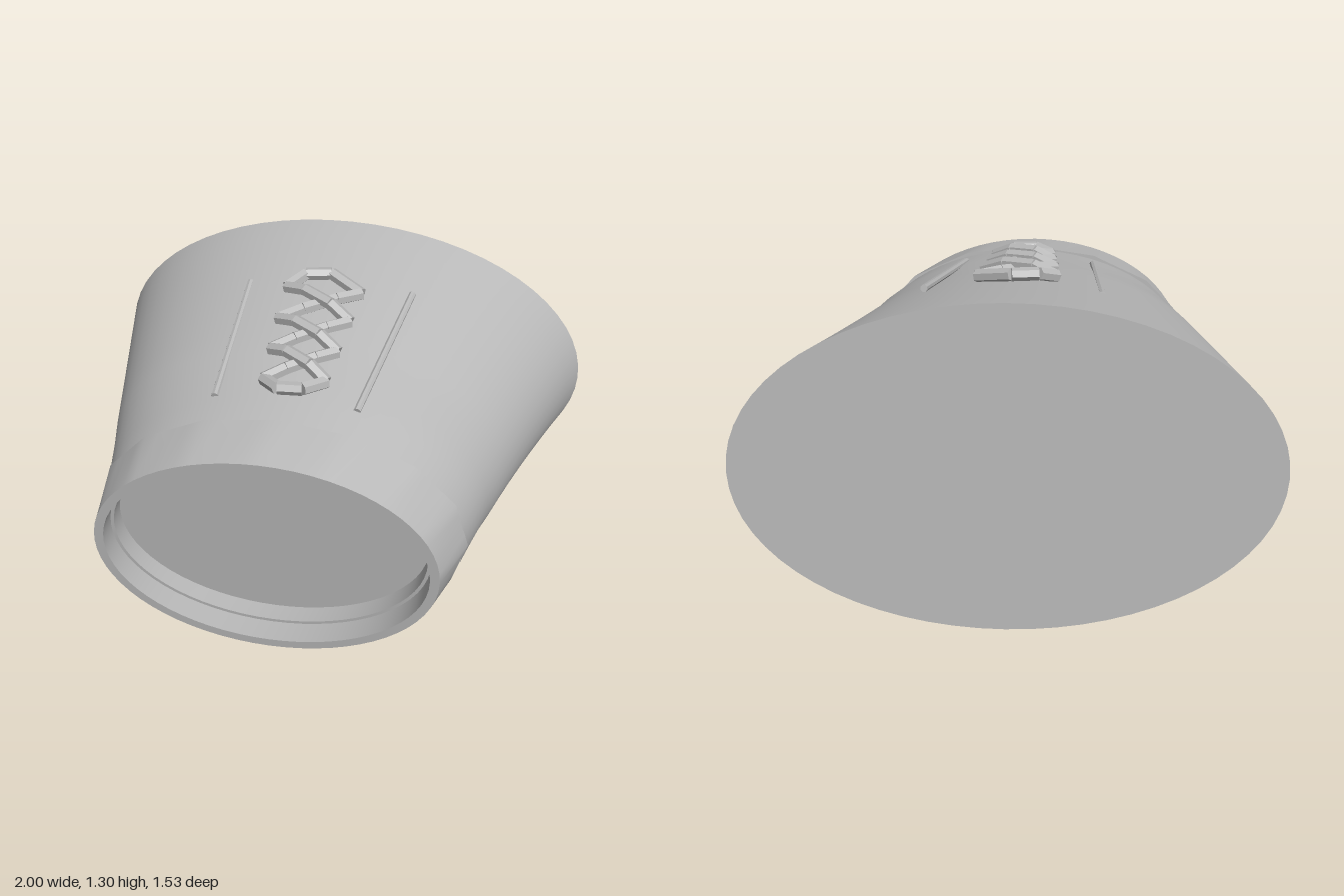
import * as THREE from 'three';

const SEG = 64;

// Tilted ellipse ring; sides > 0 turns it into a straight-sided polygon
function ring(cx, cy, rx, ry, z, sides = 0) {
  const pts = [];
  for (let i = 0; i < SEG; i++) {
    const a = (i / SEG) * Math.PI * 2;
    let c = Math.cos(a), s = Math.sin(a);
    if (sides) {
      const step = (Math.PI * 2) / sides, k = Math.floor(a / step + 1e-6), f = a / step - k;
      c = Math.cos(k * step) * (1 - f) + Math.cos((k + 1) * step) * f;
      s = Math.sin(k * step) * (1 - f) + Math.sin((k + 1) * step) * f;
    }
    const x = rx * c, y = ry * s;
    pts.push([cx + x, cy + y - 0.02 * x * (rx > 0.75 ? 1 : 0), z + 0.087 * x + 0.075 * y]);
  }
  return pts;
}

// Skin between consecutive rings
function loft(rings) {
  const index = [];
  for (let r = 0; r < rings.length - 1; r++) {
    for (let i = 0; i < SEG; i++) {
      const j = (i + 1) % SEG;
      const a = r * SEG + i, b = r * SEG + j, c = b + SEG, d = a + SEG;
      index.push(a, b, c, a, c, d);
    }
  }
  const g = new THREE.BufferGeometry();
  g.setAttribute('position', new THREE.Float32BufferAttribute(rings.flat(2), 3));
  g.setIndex(index);
  g.computeVertexNormals();
  return g;
}

export function createModel() {
  const model = new THREE.Group();
  model.name = 'cuff';
  const grey = new THREE.MeshStandardMaterial({ color: 0xb8b8b8 });
  grey.name = 'grey';
  const greyFaceted = grey;

  function add(name, geometry, parent = model) {
    const m = new THREE.Mesh(geometry, grey);
    m.name = name;
    parent.add(m);
    return m;
  }

  // Faceted bar between two points
  function bar(name, a, b, r, sides, parent) {
    const p = new THREE.Vector3(...a), q = new THREE.Vector3(...b);
    const dir = q.clone().sub(p);
    const g = new THREE.CylinderGeometry(r, r, dir.length(), sides).toNonIndexed();
    g.computeVertexNormals();
    const m = add(name, g, parent);
    m.position.copy(p).add(q).multiplyScalar(0.5);
    m.quaternion.setFromUnitVectors(new THREE.Vector3(0, 1, 0), dir.normalize());
  }

  // Flared body, slightly concave along its length
  const back = [0, 0.65, 1, 0.65, -0.667], front = [-0.152, 0.565, 0.684, 0.472, 0.49];
  const bulge = [-0.01, 0.004, -0.012, -0.004, 0];
  const bodyRings = [];
  for (let k = 0; k <= 10; k++) {
    const t = k / 10;
    bodyRings.push(ring(...back.map((v, i) => v + (front[i] - v) * t + bulge[i] * 4 * t * (1 - t))));
  }
  // Keep the skew fading smoothly towards the collar
  add('body', loft(bodyRings));
  add('backCap', loft([ring(0, 0.65, 0, 0, -0.667), ring(...back)]));

  // Collar: polygonal rear edge, smooth front rim
  const collarRear = ring(-0.155, 0.567, 0.7, 0.487, 0.485, 16);
  const rim = ring(-0.19, 0.555, 0.64, 0.45, 0.7);
  const collar = new THREE.Group();
  collar.name = 'collar';
  model.add(collar);
  add('collarLedge', loft([ring(-0.155, 0.567, 0.62, 0.42, 0.485), collarRear]), collar);
  add('collarOuter', loft([collarRear, rim]), collar);
  const lip = ring(-0.19, 0.555, 0.605, 0.415, 0.7);
  add('collarLip', loft([rim, lip]), collar);

  // Recessed opening with a small inner step
  const stepOuter = ring(-0.188, 0.556, 0.605, 0.415, 0.6);
  const stepInner = ring(-0.188, 0.556, 0.592, 0.402, 0.6);
  const floorRim = ring(-0.185, 0.557, 0.592, 0.402, 0.52);
  add('openingWall', loft([lip, stepOuter]), collar);
  add('openingStep', loft([stepOuter, stepInner]), collar);
  add('innerWall', loft([stepInner, floorRim]), collar);
  add('openingFloor', loft([floorRim, ring(-0.185, 0.557, 0, 0, 0.52)]), collar);

  // Seam rods on either side of the lacing
  bar('rightSeamRod', [-0.37, 1.175, -0.28], [-0.405, 1.035, 0.36], 0.014, 8);
  bar('leftSeamRod', [0.28, 1.185, -0.22], [0.12, 1.035, 0.41], 0.014, 8);

  // Crossed lacing: each strand arches over the surface
  const laces = new THREE.Group();
  laces.name = 'laces';
  model.add(laces);
  function strand(x0, z0, x1, z1, lift) {
    const at = (t) => {
      const x = x0 + (x1 - x0) * t, z = z0 + (z1 - z0) * t;
      return [x, 1.078 + 0.23 * (0.4 - z) + lift * Math.sin(Math.PI * t), z];
    };
    const stops = [0, 0.3, 0.7, 1];
    for (let i = 0; i < 3; i++) bar('lace', at(stops[i]), at(stops[i + 1]), 0.025, 6, laces);
  }
  const L = [[-0.21, -0.18], [-0.22, 0], [-0.225, 0.165], [-0.23, 0.32]];
  const R = [[0.085, -0.16], [0.055, 0], [0.025, 0.165], [0, 0.32]];
  for (let i = 0; i < 3; i++) {
    strand(...L[i], ...R[i + 1], 0.04);
    strand(...R[i], ...L[i + 1], 0.012);
  }

  // End loops closing the lacing
  const loops = [
    [L[0], [-0.14, -0.235], [-0.04, -0.245], R[0]],
    [L[3], [-0.17, 0.385], [-0.08, 0.385], R[3]],
  ];
  for (const pts of loops) {
    const p = pts.map(([x, z], i) => [x, 1.078 + 0.23 * (0.4 - z) + (i % 3 ? 0.02 : 0), z]);
    for (let i = 0; i < 3; i++) bar('laceLoop', p[i], p[i + 1], 0.025, 6, laces);
  }

  return model;
}
